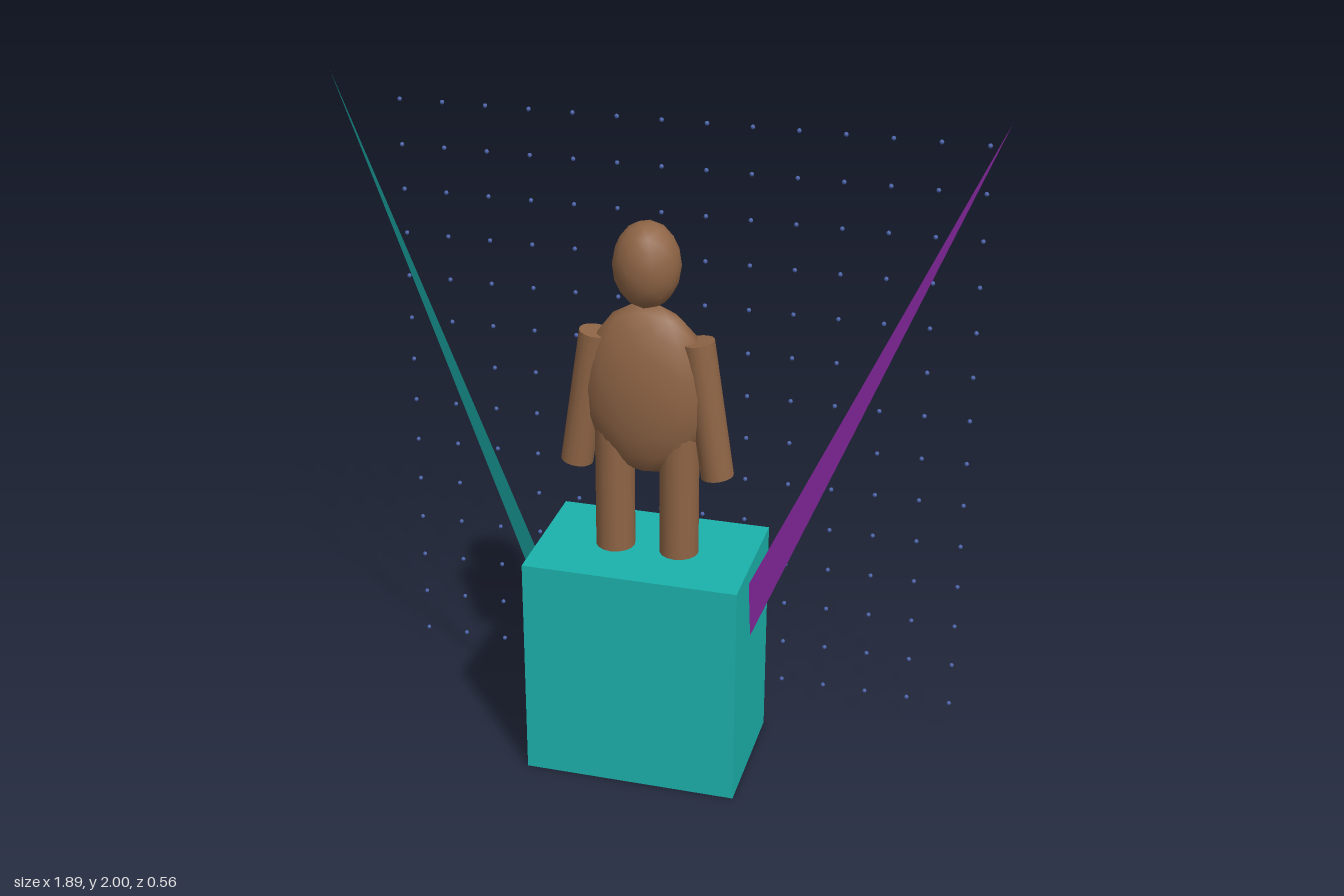
import * as THREE from 'three';

export function createModel() {
  const root = new THREE.Group();
  const mat = (name, color, side = THREE.FrontSide) => {
    const m = new THREE.MeshStandardMaterial({ color, side });
    m.name = name;
    return m;
  };
  const teal = mat('teal', 0x1cb2ac, THREE.DoubleSide);
  const purple = mat('purple', 0x822799, THREE.DoubleSide);
  const brown = mat('brown', 0x8e6445);
  const blue = mat('blue', 0x4a62a8);

  const add = (parent, name, geometry, material, x = 0, y = 0, z = 0) => {
    const mesh = new THREE.Mesh(geometry, material);
    mesh.name = name;
    mesh.position.set(x, y, z);
    parent.add(mesh);
    return mesh;
  };

  // Pedestal block
  add(root, 'pedestal', new THREE.BoxGeometry(0.63, 0.685, 0.415), teal, 0, 0.3425, 0.07);

  // Standing figure
  const figure = new THREE.Group();
  figure.name = 'figure';
  root.add(figure);
  const Z = 0.072;
  const ball = new THREE.IcosahedronGeometry(1, 2);
  add(figure, 'head', ball, brown, 0, 1.557, Z).scale.set(0.096, 0.125, 0.09);
  add(figure, 'torso', ball, brown, 0, 1.187, Z).scale.set(0.186, 0.259, 0.093);

  for (const s of [1, -1]) {
    const side = s > 0 ? 'left' : 'right';
    add(figure, side + 'Leg', new THREE.CylinderGeometry(0.057, 0.057, 0.42, 16), brown, s * 0.095, 0.89, Z);
    // Arms splay outward towards the hands
    const arm = add(figure, side + 'Arm', new THREE.CylinderGeometry(0.047, 0.047, 0.408, 16), brown, s * 0.177, 1.146, 0.076);
    arm.rotation.z = s * 0.148;

    // Long flat triangular blade, its base sunk slightly into the pedestal
    const tip = new THREE.Vector3(s * 0.945, 2, -0.035);
    const upper = new THREE.Vector3(s * 0.315, 0.635, 0.123).sub(tip).multiplyScalar(1.03).add(tip);
    const lower = new THREE.Vector3(s * 0.315, 0.445, 0.09).sub(tip).multiplyScalar(1.03).add(tip);
    const corners = s > 0 ? [lower, tip, upper] : [lower, upper, tip];
    const blade = new THREE.BufferGeometry().setFromPoints(corners);
    blade.computeVertexNormals();
    add(root, side + 'Blade', blade, s > 0 ? purple : teal);
  }

  // Grid of small beads behind the figure
  const beads = new THREE.Group();
  beads.name = 'beadGrid';
  root.add(beads);
  const bead = new THREE.SphereGeometry(0.0068, 8, 6);
  for (let i = 0; i < 14; i++) {
    for (let j = 0; j < 14; j++) {
      add(beads, 'bead', bead, blue, -0.842 + i * 0.1314, 0.08 + j * 0.1368, -0.274);
    }
  }
  return root;
}
